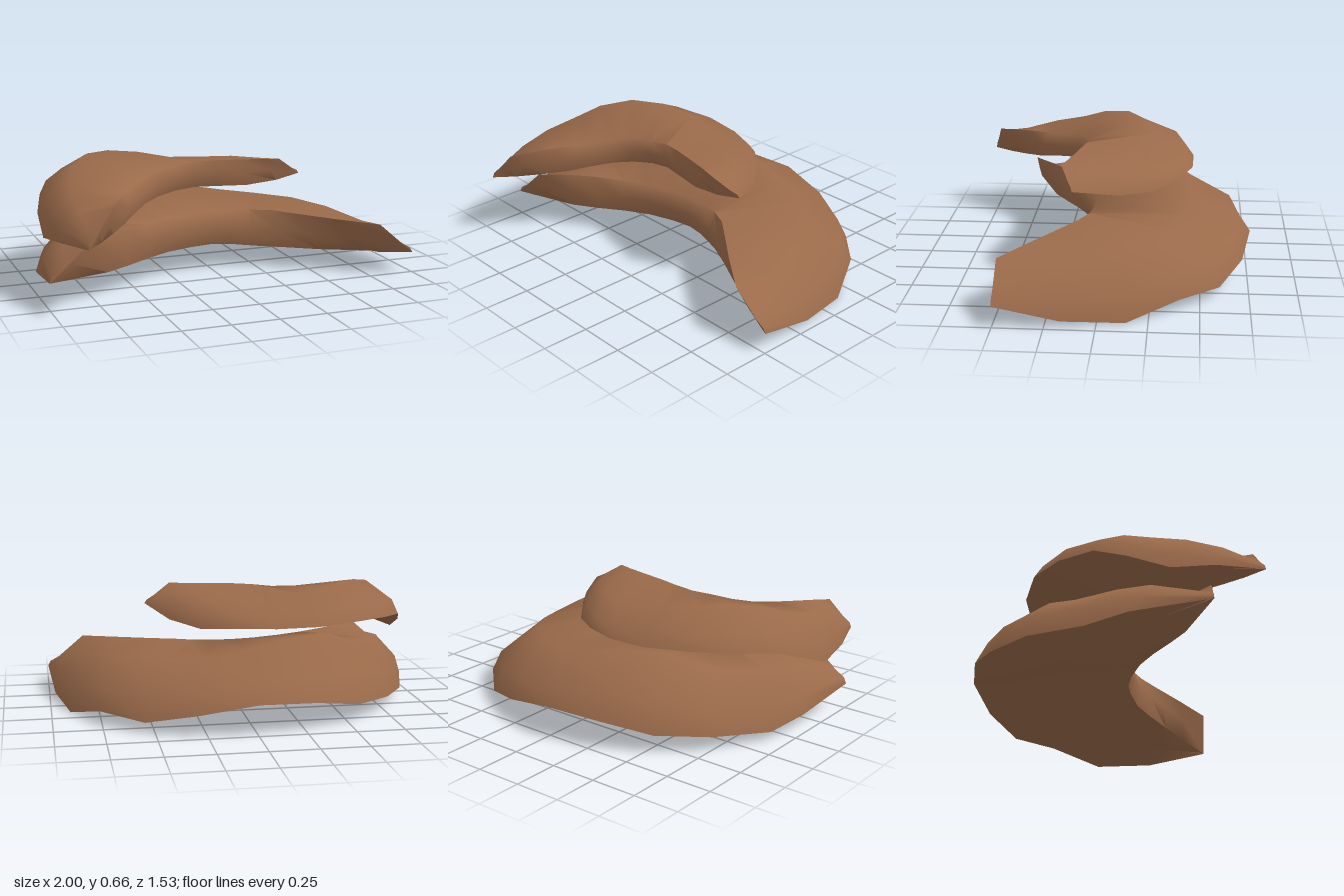
import * as THREE from 'three';
import { toCreasedNormals } from 'three/addons/utils/BufferGeometryUtils.js';

const brown = new THREE.MeshStandardMaterial({ color: 0x9a6a4a });
brown.name = 'warm brown';

// Each station: outer rim x, y, z | crest y | inner top x, y, z | inner bottom x, y, z
const lowerStations = [
  [1, 0.11, 0.5, 0.17, 0.79, 0.28, 0.5, 1, 0.11, 0.5],
  [0.97, 0.03, 0.17, 0.24, 0.58, 0.295, 0.36, 0.76, 0.11, 0.375],
  [0.9, 0, -0.14, 0.28, 0.4, 0.31, 0.23, 0.55, 0.11, 0.27],
  [0.76, 0.07, -0.4, 0.3, 0.3, 0.32, 0.16, 0.38, 0.115, 0.18],
  [0.55, 0.055, -0.6, 0.31, 0.2, 0.32, 0.12, 0.24, 0.12, 0.115],
  [0.3, 0.11, -0.72, 0.33, 0.1, 0.32, 0.105, 0.1, 0.135, 0.08],
  [0, 0.165, -0.77, 0.37, 0, 0.32, 0.105, 0, 0.14, 0.07],
  [-0.3, 0.15, -0.72, 0.42, -0.12, 0.32, 0.125, -0.12, 0.14, 0.09],
  [-0.55, 0.1, -0.6, 0.42, -0.26, 0.32, 0.17, -0.27, 0.14, 0.14],
  [-0.76, 0.08, -0.4, 0.34, -0.4, 0.32, 0.23, -0.41, 0.135, 0.21],
  [-0.92, 0.05, -0.11, 0.31, -0.55, 0.32, 0.31, -0.54, 0.13, 0.29],
  [-0.98, 0.09, 0.1, 0.29, -0.66, 0.32, 0.39, -0.67, 0.13, 0.37],
  [-1, 0.14, 0.5, 0.21, -0.79, 0.32, 0.5, -1, 0.14, 0.5],
];
const upperStations = [
  [0.47, 0.52, 0.16, 0.56, 0.32, 0.62, 0.23, 0.47, 0.52, 0.16],
  [0.36, 0.47, -0.07, 0.59, 0.24, 0.62, 0.215, 0.33, 0.495, 0.18],
  [0.22, 0.45, -0.25, 0.59, 0.1, 0.62, 0.19, 0.16, 0.48, 0.18],
  [0.04, 0.47, -0.38, 0.58, -0.02, 0.62, 0.17, 0, 0.48, 0.15],
  [-0.15, 0.475, -0.45, 0.58, -0.12, 0.615, 0.155, -0.12, 0.48, 0.13],
  [-0.37, 0.48, -0.455, 0.62, -0.23, 0.6, 0.165, -0.23, 0.47, 0.14],
  [-0.6, 0.49, -0.39, 0.65, -0.34, 0.59, 0.2, -0.34, 0.455, 0.18],
  [-0.78, 0.48, -0.25, 0.66, -0.42, 0.57, 0.25, -0.43, 0.44, 0.25],
  [-0.91, 0.46, -0.07, 0.63, -0.5, 0.55, 0.33, -0.51, 0.42, 0.34],
  [-0.96, 0.4, 0.09, 0.58, -0.57, 0.54, 0.42, -0.6, 0.39, 0.44],
  [-0.98, 0.32, 0.3, 0.54, -0.64, 0.53, 0.53, -0.69, 0.375, 0.55],
  [-0.95, 0.345, 0.52, 0.49, -0.7, 0.52, 0.63, -0.78, 0.365, 0.66],
  [-0.87, 0.36, 0.76, 0.42, -0.75, 0.51, 0.71, -0.87, 0.36, 0.76],
];

// Cross-section: over the crest, down the rounded inner wall, back along the underside
function section([ox, oy, oz, crest, tx, ty, tz, bx, by, bz]) {
  const at = (t, y) => [ox + (tx - ox) * t, y, oz + (tz - oz) * t];
  return [
    [ox, oy, oz],
    at(0.07, oy + (crest - oy) * 0.45),
    at(0.36, crest),
    at(0.96, ty),
    [(tx + bx) / 2 + (tx - ox) * 0.02, (ty + by) / 2, (tz + bz) / 2 + (tz - oz) * 0.02],
    [bx, by, bz],
    [(ox + bx) / 2, (oy + by) / 2 + (crest - oy) * 0.1, (oz + bz) / 2],
  ];
}

// Skins the sections into one closed crescent
function crescent(name, stations) {
  const rings = stations.map(section);
  const n = rings[0].length;
  const last = (rings.length - 1) * n;
  const index = [];
  for (let i = 0; i < rings.length - 1; i++) {
    for (let j = 0; j < n; j++) {
      const a = i * n + j;
      const b = i * n + ((j + 1) % n);
      index.push(a, a + n, b, b, a + n, b + n);
    }
  }
  // sharp ends, where the inner wall runs out into the rim
  for (let j = 1; j < n - 2; j++) {
    index.push(0, j, j + 1, last, last + j + 1, last + j);
  }
  const geometry = new THREE.BufferGeometry();
  geometry.setAttribute('position', new THREE.Float32BufferAttribute(rings.flat(2), 3));
  geometry.setIndex(index);
  const mesh = new THREE.Mesh(toCreasedNormals(geometry, 1.2), brown);
  mesh.name = name;
  return mesh;
}

export function createModel() {
  const model = new THREE.Group();
  model.name = 'layeredCrescents';
  model.add(crescent('lowerCrescent', lowerStations), crescent('upperCrescent', upperStations));
  return model;
}
